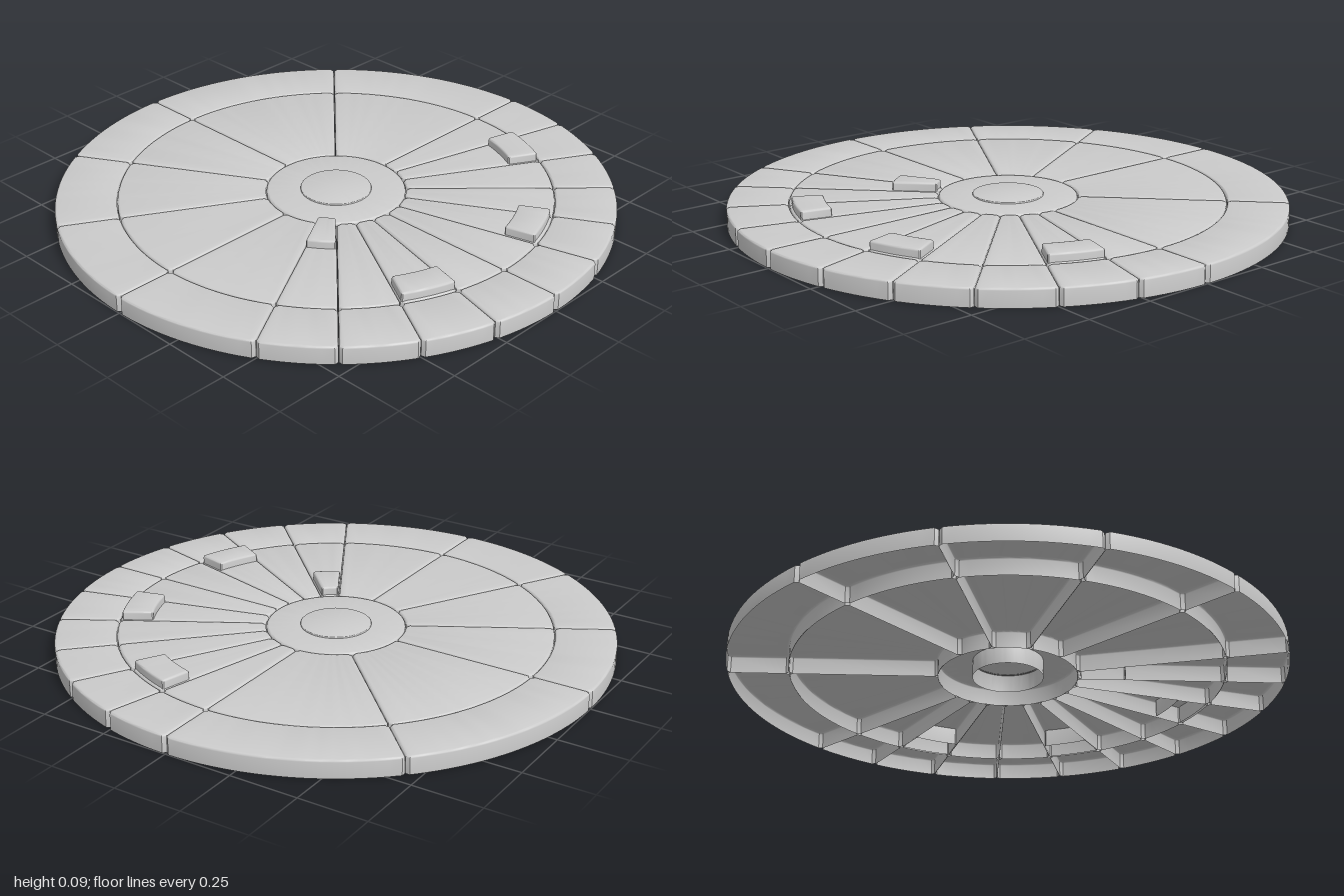
import * as THREE from 'three';
import { toCreasedNormals } from 'three/addons/utils/BufferGeometryUtils.js';

const H = 0.065;      // panel height
const BEVEL = 0.008;  // rounded top edge
const R_HUB = 0.25, R_MID = 0.78, R_RIM = 1;
const material = new THREE.MeshStandardMaterial({ color: 0xcccccc, side: THREE.DoubleSide });

// seams between panels, counter-clockwise from +x
const SEAMS = [-60, -45, -30, -15, 0, 15, 30, 45, 60, 75, 90, 135, 180, 210, 240, 270, 300];

// Outline of a ring sector inset by d, with corners cut by c (counter-clockwise from above)
function sectorOutline(r0, r1, a0, a1, d, c, n) {
  const arc = (r, sign) => {
    const pts = [];
    for (let i = 0; i <= n; i++) {
      const corner = i === 0 || i === n;
      const rr = corner ? r + sign * c : r;
      const t = (Math.max(1, Math.min(n - 1, i)) - 1) / (n - 2);
      const pad = Math.asin(d / rr) + (corner ? 0 : c / rr);
      const a = a0 + pad + t * (a1 - a0 - 2 * pad);
      pts.push([rr * Math.cos(a), -rr * Math.sin(a)]);
    }
    return pts;
  };
  return [...arc(r1 - d, -1), ...arc(r0 + d, 1).reverse()];
}

// Bottomless sector shell: straight walls, rounded top edge, flat top
function sectorShell(name, r0, r1, deg0, deg1, { top = H, gap = 0.001, corner = 0.011 } = {}) {
  const a0 = THREE.MathUtils.degToRad(deg0), a1 = THREE.MathUtils.degToRad(deg1);
  const n = Math.max(6, Math.ceil((deg1 - deg0) / 2.5) + 2);
  const levels = [[0, 0]];
  for (let k = 0; k <= 3; k++) {
    const t = (k / 3) * Math.PI / 2;
    levels.push([top - BEVEL * (1 - Math.sin(t)), BEVEL * (1 - Math.cos(t))]);
  }
  const pos = [], idx = [], m = 2 * (n + 1);
  for (const [y, inset] of levels)
    for (const [x, z] of sectorOutline(r0, r1, a0, a1, gap + inset, corner, n)) pos.push(x, y, z);
  for (let l = 0; l < levels.length - 1; l++)
    for (let i = 0; i < m; i++) {
      const a = l * m + i, b = l * m + (i + 1) % m;
      idx.push(a, b, b + m, a, b + m, a + m);
    }
  const base = (levels.length - 1) * m;
  for (let i = 0; i < n; i++) {
    const o = base + i, q = base + m - 1 - i;
    idx.push(q, o, o + 1, q, o + 1, q - 1);
  }
  const g = new THREE.BufferGeometry();
  g.setAttribute('position', new THREE.Float32BufferAttribute(pos, 3));
  g.setIndex(idx);
  const mesh = new THREE.Mesh(toCreasedNormals(g, 0.6), material);
  mesh.name = name;
  return mesh;
}

// Bottomless round shell, open in the middle if rIn > 0
function roundShell(name, r, rIn, top, bevel) {
  const pts = [new THREE.Vector2(r, 0)];
  for (let k = 0; k <= 3; k++) {
    const t = (k / 3) * Math.PI / 2;
    pts.push(new THREE.Vector2(r - bevel * (1 - Math.cos(t)), top - bevel * (1 - Math.sin(t))));
  }
  pts.push(new THREE.Vector2(rIn, top));
  const mesh = new THREE.Mesh(toCreasedNormals(new THREE.LatheGeometry(pts, 96), 0.6), material);
  mesh.name = name;
  return mesh;
}

export function createModel() {
  const model = new THREE.Group();
  model.name = 'segmentedDisc';

  // hub and its centre cap
  model.add(roundShell('hub', R_HUB - 0.001, 0.12, H, BEVEL));
  model.add(roundShell('centreCap', 0.127, 0, H + 0.006, 0.003));

  // inner wedges and outer rim panels
  const wedges = new THREE.Group(), rim = new THREE.Group();
  wedges.name = 'innerWedges';
  rim.name = 'rimPanels';
  for (let i = 0; i < SEAMS.length - 1; i++) {
    wedges.add(sectorShell('wedge', R_HUB, R_MID, SEAMS[i], SEAMS[i + 1]));
    rim.add(sectorShell('rimPanel', R_MID, R_RIM, SEAMS[i], SEAMS[i + 1]));
  }
  model.add(wedges, rim);

  // raised blocks: inner radius, outer radius, start and end angle
  const blocks = new THREE.Group();
  blocks.name = 'raisedBlocks';
  for (const [r0, r1, d0, d1] of [
    [0.655, 0.775, 60, 75],
    [0.655, 0.775, 15, 30],
    [0.655, 0.775, -30, -15],
    [0.255, 0.425, -60, -45],
  ]) blocks.add(sectorShell('raisedBlock', r0, r1, d0, d1, { top: 0.095, gap: 0.004, corner: 0.004 }));
  model.add(blocks);
  return model;
}
